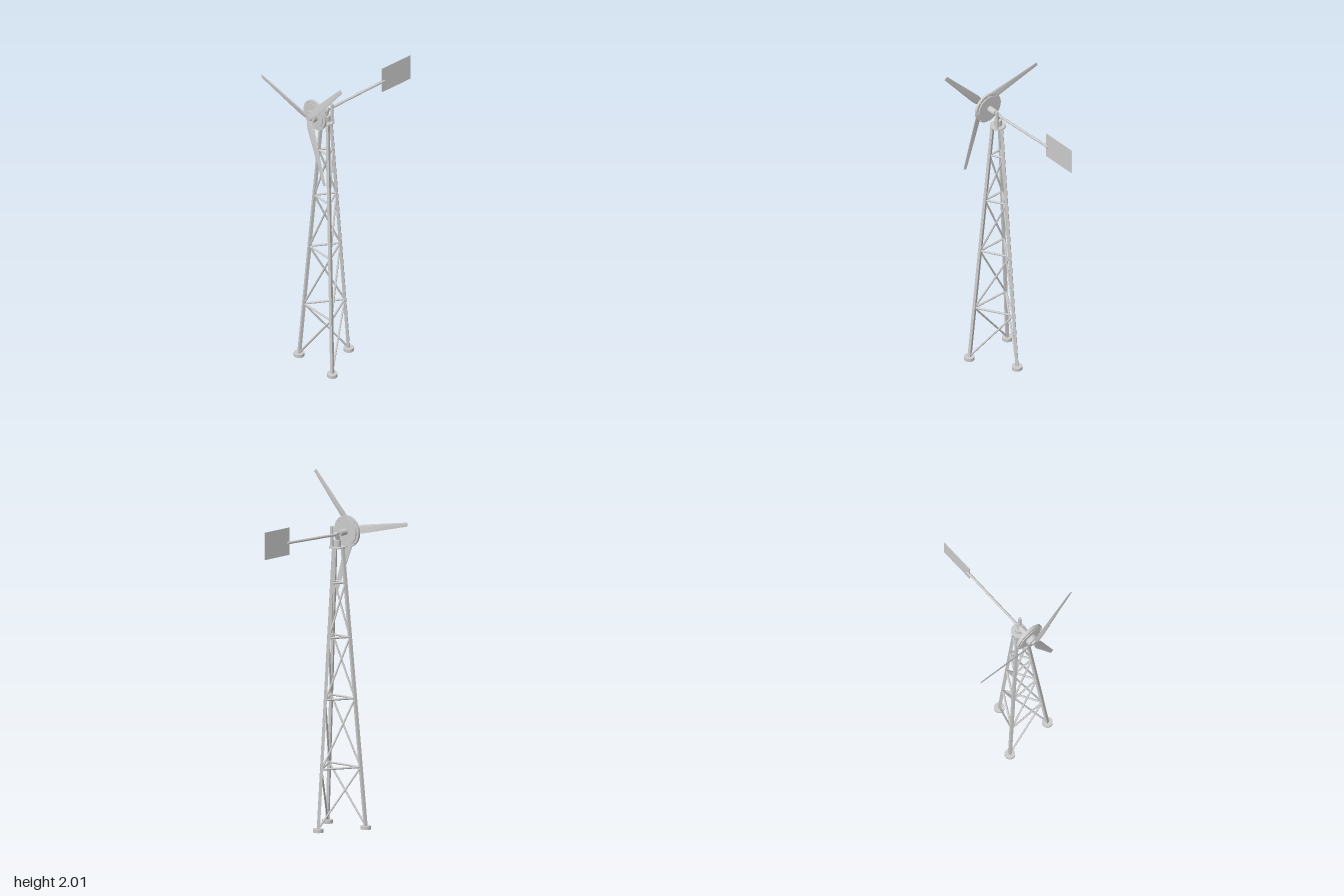
import * as THREE from 'three';

const V = (x, y, z) => new THREE.Vector3(x, y, z);
const AX = 0.062, AZ = 0.24, HUB_Y = 1.687;

export function createModel() {
  const root = new THREE.Group();
  root.name = 'windTurbine';
  const flat = new THREE.MeshStandardMaterial({ color: 0xcccccc, flatShading: true });
  const smooth = new THREE.MeshStandardMaterial({ color: 0xcccccc });

  const add = (parent, name, geo, mat = smooth) => {
    const m = new THREE.Mesh(geo, mat);
    m.name = name;
    parent.add(m);
    return m;
  };
  // Round or faceted bar between two points
  const bar = (parent, name, a, b, r, sides = 16) => {
    const d = b.clone().sub(a);
    const m = add(parent, name, new THREE.CylinderGeometry(r, r, d.length(), sides), sides < 9 ? flat : smooth);
    m.position.copy(a).add(b).multiplyScalar(0.5);
    m.quaternion.setFromUnitVectors(V(0, 1, 0), d.normalize());
    return m;
  };

  // Tower: three leaning legs
  const tower = new THREE.Group();
  tower.name = 'tower';
  root.add(tower);
  const TOP = 1.608;
  const angles = [30, 150, 270].map(THREE.MathUtils.degToRad);
  const legPoint = (i, y) => {
    const r = THREE.MathUtils.lerp(0.164, 0.031, y / TOP), a = angles[i % 3];
    return V(AX + Math.cos(a) * r, y, AZ + Math.sin(a) * r);
  };
  const levels = [0.02, 0.354, 0.747, 1.097, 1.408];
  for (let i = 0; i < 3; i++) {
    const base = legPoint(i, 0);
    bar(tower, 'foot', base, V(base.x, 0.02, base.z), 0.03, 32);
    const leg = bar(tower, 'leg', legPoint(i, 0.01), legPoint(i, TOP), 0.012, 4);
    leg.rotateY(Math.PI / 2 - angles[i]);
    // One strut and one spiralling diagonal per face and level
    for (let k = 1; k < levels.length; k++) {
      const lo = levels[k - 1], hi = levels[k];
      bar(tower, 'strut', legPoint(i, hi), legPoint(i + 1, hi), 0.006, 12);
      bar(tower, 'diagonalBrace', legPoint(i + 1, lo), legPoint(i, hi), 0.0055, 12);
    }
  }

  // Yaw platform, bearing and mounting
  const head = new THREE.Group();
  head.name = 'head';
  root.add(head);
  bar(head, 'platform', V(AX, 1.605, AZ), V(AX, 1.613, AZ), 0.045, 40);
  bar(head, 'yawBearing', V(AX, 1.613, AZ), V(AX, 1.65, AZ), 0.022, 32);
  const bracket = add(head, 'mountBracket', new THREE.BoxGeometry(0.019, 0.05, 0.018), flat);
  bracket.position.set(AX, 1.669, 0.239);
  bracket.rotation.x = -0.4;
  bar(head, 'sidePost', V(0.086, 1.613, 0.221), V(0.086, 1.728, 0.221), 0.009, 24);

  // Tail boom and vane
  bar(head, 'tailBoom', V(AX, 1.682, 0.225), V(AX, 1.695, -0.19), 0.0077, 16);
  const vane = add(head, 'tailVane', new THREE.BoxGeometry(0.003, 0.157, 0.214), flat);
  vane.position.set(AX, 1.704, -0.279);

  // Generator: stacked discs along the rotor axis
  const disc = (name, r, z0, z1, sides = 48) =>
    bar(head, name, V(AX, HUB_Y, z0), V(AX, HUB_Y, z1), r, sides);
  disc('shaftHousing', 0.018, 0.257, 0.31, 32);
  disc('shaft', 0.009, 0.245, 0.345, 20);
  disc('rearRotorPlate', 0.077, 0.311, 0.317);
  disc('stator', 0.091, 0.319, 0.333);
  disc('frontRotorPlate', 0.075, 0.334, 0.339);
  disc('hubDrum', 0.036, 0.339, 0.366);
  disc('hubCap', 0.02, 0.366, 0.379, 24);
  for (let i = 0; i < 8; i++) {
    const a = i * Math.PI / 4, x = AX + 0.084 * Math.cos(a), y = HUB_Y + 0.084 * Math.sin(a);
    bar(head, 'statorBolt', V(x, y, 0.314), V(x, y, 0.337), 0.004, 8);
  }

  // Rotor blades: tapered, gently twisted airfoil loft
  const rotor = new THREE.Group();
  rotor.name = 'rotor';
  rotor.position.set(AX, HUB_Y, 0.3767);
  root.add(rotor);
  const sections = [[0.008, 0.026, 0.22], [0.04, 0.044, 0.22], [0.08, 0.05, 0.2], [0.24, 0.037, 0.1], [0.415, 0.023, 0.04]];
  const foil = [[-0.5, 0], [-0.35, -0.05], [0.1, -0.04], [0.5, 0], [0.1, 0.05], [-0.35, 0.06]];
  const n = foil.length, pos = [], idx = [];
  sections.forEach(([r, w, t], s) => {
    for (const [c, h] of foil) {
      const y = c * w, z = h * w;
      pos.push(r, y * Math.cos(t) + z * Math.sin(t), z * Math.cos(t) - y * Math.sin(t) - 0.006 * r / 0.415);
    }
    if (s) for (let j = 0; j < n; j++) {
      const a = (s - 1) * n + j, b = (s - 1) * n + (j + 1) % n;
      idx.push(a, a + n, b, b, a + n, b + n);
    }
  });
  const last = (sections.length - 1) * n;
  for (let j = 1; j < n - 1; j++) {
    idx.push(0, j, j + 1);
    idx.push(last, last + j + 1, last + j);
  }
  const bladeGeo = new THREE.BufferGeometry();
  bladeGeo.setAttribute('position', new THREE.Float32BufferAttribute(pos, 3));
  bladeGeo.setIndex(idx);
  bladeGeo.computeVertexNormals();
  const bladeMat = new THREE.MeshStandardMaterial({ color: 0xcccccc, flatShading: true, side: THREE.DoubleSide });
  for (let i = 0; i < 3; i++) {
    add(rotor, 'blade', bladeGeo, bladeMat).rotation.z = THREE.MathUtils.degToRad(48.5 + i * 120);
  }
  return root;
}
